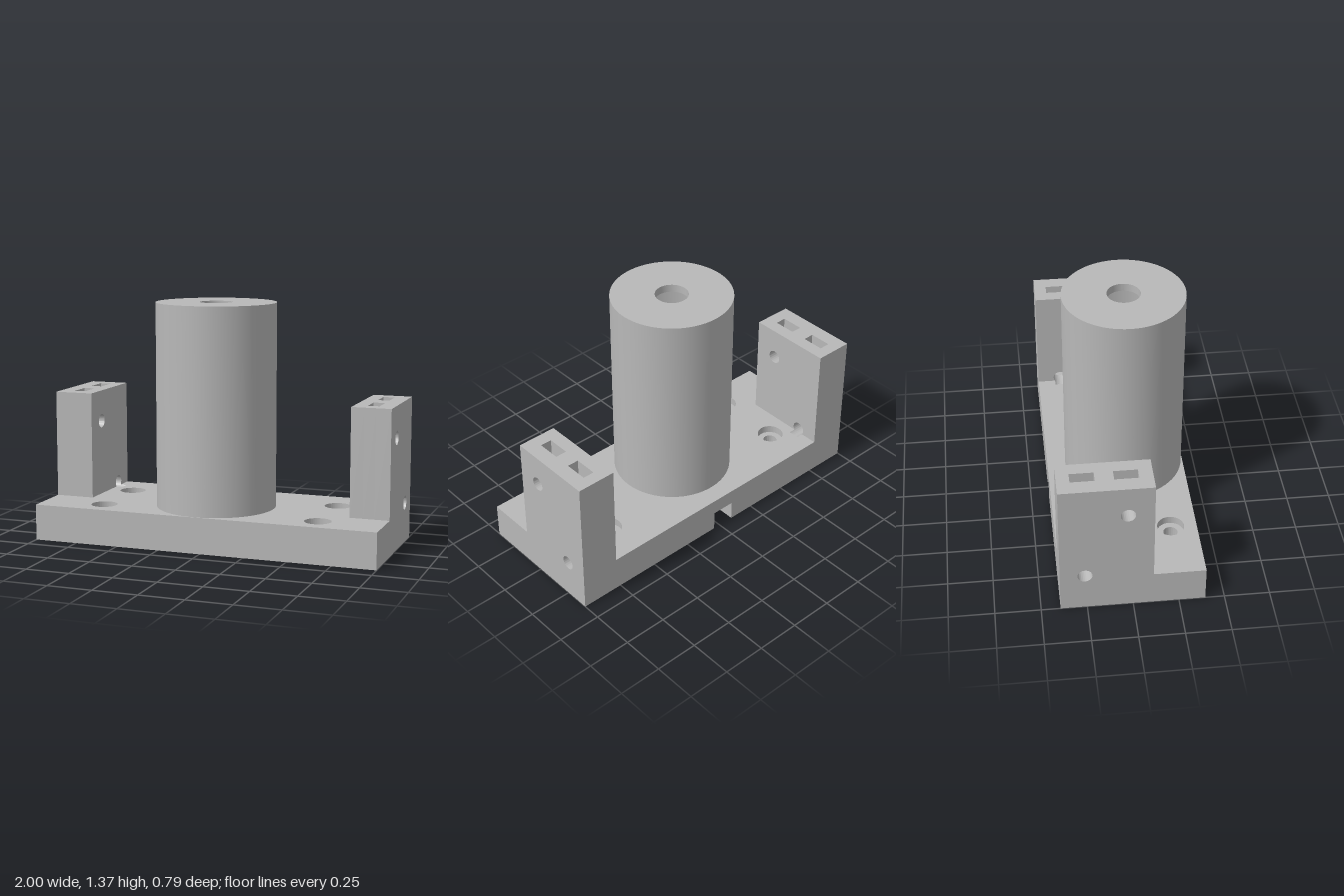
import * as THREE from 'three';
import { toCreasedNormals } from 'three/addons/utils/BufferGeometryUtils.js';

const HALF_Z = 0.395, BASE_TOP = 0.205, BLOCK_TOP = 0.82, BLOCK_FRONT = -0.11;
const CX = -0.025, CZ = 0.05;              // tower axis
const BORE = 0.29, CHAMFER = 0.31, SLOT = 0.068, MID_X = 0.735;
const BOLT = 0.04;

export function createModel() {
  const model = new THREE.Group();
  model.name = 'motorMount';
  const grey = new THREE.MeshStandardMaterial({ color: 0xb8b8b8 });
  grey.name = 'grey';

  const add = (name, geometry) => {
    const mesh = new THREE.Mesh(toCreasedNormals(geometry, 0.5), grey);
    mesh.name = name;
    model.add(mesh);
    return mesh;
  };
  const extrude = (shape, depth) =>
    new THREE.ExtrudeGeometry(shape, { depth, bevelEnabled: false, curveSegments: 48 });
  const polygon = (points) => new THREE.Shape(points.map(([x, y]) => new THREE.Vector2(x, y)));
  const circle = (x, y, r) => new THREE.Path().absarc(x, y, r, 0, Math.PI * 2, true);

  // Horizontal layer: plan shape (x, -z) raised from y0 to y1
  const addLayer = (name, shape, y0, y1) =>
    add(name, extrude(shape, y1 - y0).rotateX(-Math.PI / 2).translate(0, y0, 0));
  // Upright layer: side shape (-z, y) between x = lo and x = hi, on either side
  const addSide = (name, shape, lo, hi, side) =>
    add(name, extrude(shape, hi - lo).rotateY(Math.PI / 2).translate(side > 0 ? lo : -hi, 0, 0));

  const screwHoles = (shape, r) => {
    for (const x of [-0.635, 0.635])
      for (const z of [-0.16, 0.25]) shape.holes.push(circle(x, -z, r));
    return shape;
  };

  // Middle of the base, open at the back: bore joined to the cable slot
  const keyhole = (r) => {
    const a = Math.asin(SLOT / r);
    const s = polygon([[-MID_X, -HALF_Z], [MID_X, -HALF_Z], [MID_X, HALF_Z], [CX + SLOT, HALF_Z]]);
    s.absarc(CX, -CZ, r, Math.PI / 2 - a, Math.PI / 2 + a, true);
    s.lineTo(CX - SLOT, HALF_Z);
    s.lineTo(-MID_X, HALF_Z);
    s.closePath();
    return screwHoles(s, BOLT);
  };
  // Middle of the base with a closed bore
  const ring = (screwRadius) => {
    const s = polygon([[-MID_X, -HALF_Z], [MID_X, -HALF_Z], [MID_X, HALF_Z], [-MID_X, HALF_Z]]);
    s.holes.push(circle(CX, -CZ, BORE));
    return screwHoles(s, screwRadius);
  };
  addLayer('baseBottom', keyhole(CHAMFER), 0, 0.025);
  addLayer('baseSlotLayer', keyhole(BORE), 0.025, 0.115);
  addLayer('baseCore', ring(BOLT), 0.115, 0.16);
  addLayer('baseTop', ring(0.075), 0.16, BASE_TOP);

  const lathe = (points, ...arc) => new THREE.LatheGeometry(
    points.map(([r, y]) => new THREE.Vector2(r, y)), 72, ...arc).translate(CX, 0, CZ);

  // Chamfer at the mouth of the bore, interrupted by the slot
  const gap = Math.asin(SLOT / CHAMFER);
  add('boreChamfer', lathe([[BORE, 0.025], [CHAMFER, 0]], Math.PI + gap, 2 * (Math.PI - gap)));

  // Hollow tower with a shaft hole in its lid
  add('tower', lathe([[0.34, BASE_TOP], [0.34, 1.365], [0.093, 1.365], [0.093, 1.32],
    [BORE, 1.32], [BORE, BASE_TOP]]));

  // Side blocks together with the ends of the base
  const endProfile = (topCuts = []) => polygon([
    [-HALF_Z, 0], [HALF_Z, 0], [HALF_Z, BLOCK_TOP], ...topCuts,
    [BLOCK_FRONT, BLOCK_TOP], [BLOCK_FRONT, BASE_TOP], [-HALF_Z, BASE_TOP]]);
  const bolts = [[0.26, 0.23], [0.03, 0.64]];
  const drilled = endProfile();
  for (const [u, y] of bolts) drilled.holes.push(circle(u, y, BOLT));

  // Nut pockets, open at the top of the block
  const pocketed = endProfile(bolts.flatMap(([u, y]) => [
    [u + 0.065, BLOCK_TOP], [u + 0.065, y - 0.065], [u - 0.065, y - 0.065], [u - 0.065, BLOCK_TOP]]));

  // Strip of base where the lower bolt hole leaves a groove
  const grooved = polygon([[-HALF_Z, 0], [HALF_Z, 0], [HALF_Z, BASE_TOP]]);
  const dip = Math.asin((0.23 - BASE_TOP) / BOLT);
  grooved.absarc(0.26, 0.23, BOLT, -dip, dip - Math.PI, true);
  grooved.lineTo(-HALF_Z, BASE_TOP);
  grooved.closePath();

  for (const side of [1, -1]) {
    const label = side > 0 ? 'left' : 'right';
    addSide(label + 'BaseStrip', grooved, MID_X, 0.775, side);
    addSide(label + 'BlockInner', drilled, 0.775, 0.85, side);
    addSide(label + 'BlockPockets', pocketed, 0.85, 0.915, side);
    addSide(label + 'BlockOuter', drilled, 0.915, 1, side);
  }
  return model;
}
